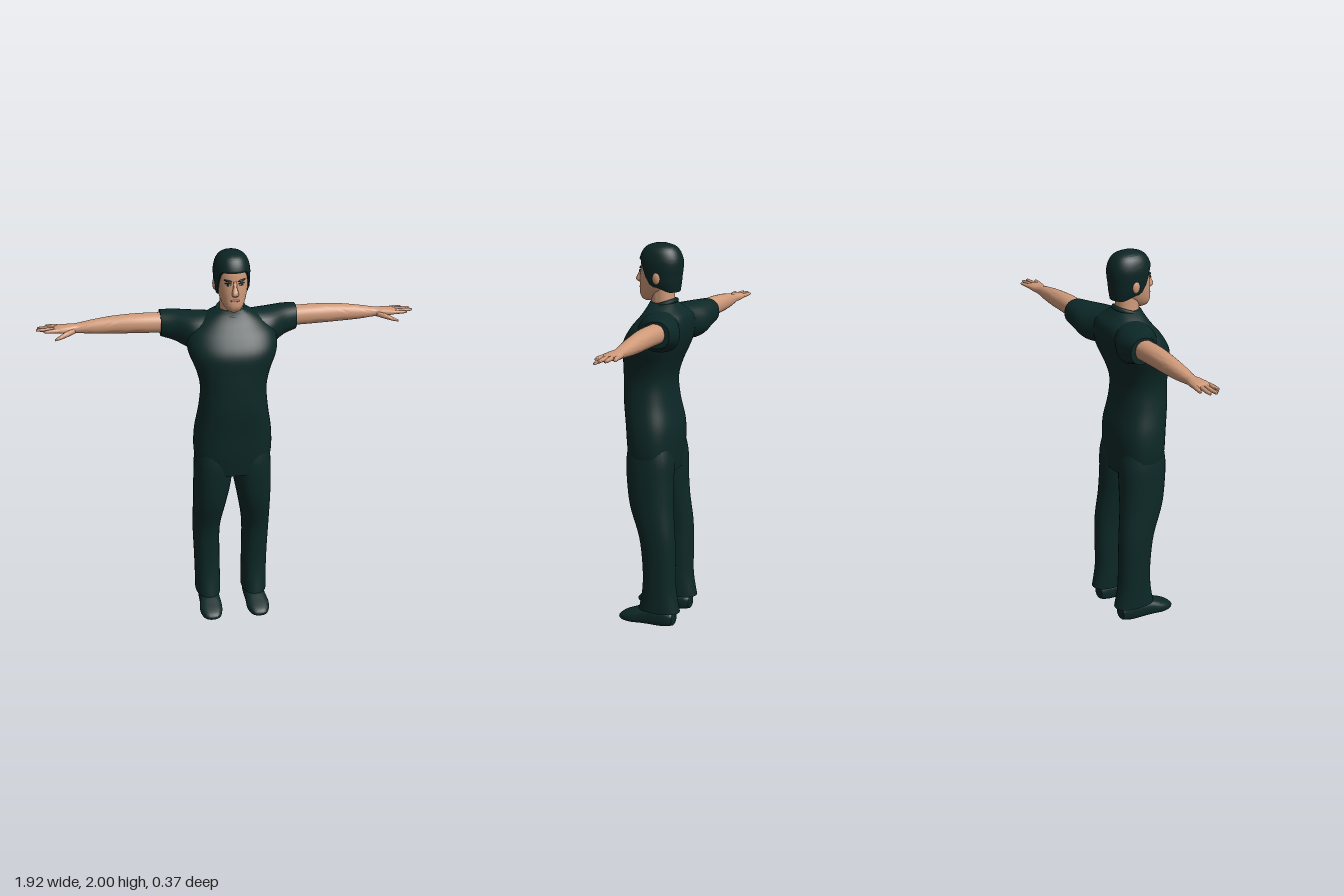
import * as THREE from 'three';
import { toCreasedNormals } from 'three/addons/utils/BufferGeometryUtils.js';

const material = (name, color) => {
  const m = new THREE.MeshStandardMaterial({ color });
  m.name = name;
  return m;
};

// Smooth skin over oval sections [t, centreU, centreV, radiusU, radiusV].
// axis y: u = x, v = z; axis x: u = z, v = y; axis z: u = y, v = x.
function loft(sections, { axis = 'y', side = 1, n = 2.2, segs = 28, steps = 5, start = () => 0 } = {}) {
  const rows = (sections.length - 1) * steps;
  const sample = (k, t) => {
    const f = t * (sections.length - 1);
    const i = Math.min(Math.floor(f), sections.length - 2), w = f - i;
    const p = j => sections[THREE.MathUtils.clamp(j, 0, sections.length - 1)][k];
    const m0 = (p(i + 1) - p(i - 1)) / 2, m1 = (p(i + 2) - p(i)) / 2;
    const w2 = w * w, w3 = w2 * w;
    return (2 * w3 - 3 * w2 + 1) * p(i) + (w3 - 2 * w2 + w) * m0 + (3 * w2 - 2 * w3) * p(i + 1) + (w3 - w2) * m1;
  };
  const round = c => Math.sign(c) * Math.abs(c) ** (2 / n);
  const pos = [], idx = [];
  const put = (u, t, v) => {
    const [x, y, z] = axis === 'y' ? [u, t, v] : axis === 'x' ? [t, v, u] : [v, u, t];
    pos.push(x * side, y, z);
  };
  const tri = (a, b, c) => (side > 0 ? idx.push(a, b, c) : idx.push(a, c, b));
  for (let i = 0; i <= rows; i++) {
    for (let j = 0; j < segs; j++) {
      const a = (j / segs) * Math.PI * 2, t0 = start(a), t = t0 + (1 - t0) * i / rows;
      put(sample(1, t) + sample(3, t) * round(Math.cos(a)), sample(0, t), sample(2, t) + sample(4, t) * round(Math.sin(a)));
    }
  }
  for (let i = 0; i < rows; i++) {
    for (let j = 0; j < segs; j++) {
      const a = i * segs + j, b = i * segs + (j + 1) % segs, c = a + segs, d = b + segs;
      tri(a, c, b);
      tri(b, c, d);
    }
  }
  const first = sections[0], last = sections[sections.length - 1], lo = pos.length / 3, top = rows * segs;
  put(first[1], first[0], first[2]);
  put(last[1], last[0], last[2]);
  for (let j = 0; j < segs; j++) {
    const k = (j + 1) % segs;
    tri(lo, j, k);
    tri(lo + 1, top + k, top + j);
  }
  const g = new THREE.BufferGeometry();
  g.setAttribute('position', new THREE.Float32BufferAttribute(pos, 3));
  g.setIndex(idx);
  return toCreasedNormals(g, 1.0);
}

export function createModel() {
  const model = new THREE.Group();
  const cloth = material('dark teal cloth', 0x0c2827);
  const skin = material('skin', 0xd09a7a);
  const hairMat = material('dark hair', 0x0b2524);
  const lipMat = material('lips', 0xb27a62);
  const eyeWhite = material('eye white', 0xa9b4b0);
  const add = (name, geo, mat, parent = model) => {
    const m = new THREE.Mesh(geo, mat);
    m.name = name;
    parent.add(m);
    return m;
  };
  const blob = (name, mat, p, s, parent = model) => {
    const m = add(name, new THREE.SphereGeometry(1, 16, 12), mat, parent);
    m.position.set(...p);
    m.scale.set(...s);
    return m;
  };

  // Shirt and hips in one continuous body
  add('torso', loft([
    [0.84, 0, 0.02, 0.18, 0.118], [0.95, 0, 0.025, 0.2, 0.13], [1.07, 0, 0.03, 0.197, 0.135],
    [1.2, 0, 0.05, 0.176, 0.13], [1.31, 0, 0.055, 0.167, 0.127], [1.4, 0, 0.043, 0.185, 0.138],
    [1.5, 0, 0.02, 0.223, 0.156], [1.58, 0, -0.008, 0.22, 0.142], [1.64, 0, -0.028, 0.17, 0.115],
    [1.68, 0, -0.02, 0.115, 0.083], [1.705, 0, -0.012, 0.07, 0.066],
  ], { n: 2.5, segs: 40 }), cloth);
  const collar = add('collar', new THREE.TorusGeometry(0.068, 0.012, 8, 32), cloth);
  collar.position.set(0, 1.695, -0.01);
  collar.rotation.x = Math.PI / 2 + 0.3;

  // Neck and head
  add('neck', loft([
    [1.64, 0, -0.015, 0.062, 0.058], [1.71, 0, -0.01, 0.058, 0.058], [1.79, 0, -0.005, 0.056, 0.06],
  ]), skin);
  add('head', loft([
    [1.708, 0, 0.062, 0.015, 0.025], [1.72, 0, 0.058, 0.035, 0.045], [1.745, 0, 0.045, 0.052, 0.068],
    [1.78, 0, 0.025, 0.066, 0.087], [1.82, 0, 0.012, 0.075, 0.099], [1.87, 0, 0.004, 0.08, 0.103],
    [1.92, 0, 0, 0.08, 0.101], [1.96, 0, -0.003, 0.066, 0.08], [1.985, 0, -0.003, 0.035, 0.045],
  ], { segs: 36 }), skin);
  add('nose', loft([
    [1.798, 0, 0.112, 0.012, 0.01], [1.812, 0, 0.116, 0.017, 0.022],
    [1.842, 0, 0.11, 0.01, 0.015], [1.872, 0, 0.101, 0.008, 0.009],
  ], { segs: 16 }), skin);
  blob('mouth', lipMat, [0, 1.776, 0.109], [0.024, 0.006, 0.006]);

  // Hair: the lower edge climbs from the nape to the forehead
  add('hair', loft([
    [1.76, 0, -0.025, 0.064, 0.072], [1.8, 0, -0.005, 0.08, 0.098], [1.84, 0, 0, 0.086, 0.107],
    [1.88, 0, 0, 0.09, 0.112], [1.92, 0, 0, 0.089, 0.111], [1.96, 0, 0, 0.077, 0.095],
    [1.985, 0, 0, 0.055, 0.07], [2, 0, 0, 0.018, 0.025],
  ], { segs: 48, start: a => 0.1 * THREE.MathUtils.smoothstep(Math.sin(a), -0.6, 0.2)
    + 0.47 * THREE.MathUtils.smoothstep(Math.sin(a), 0.3, 0.8) }), hairMat);

  // Fingers: start z, tip z, tip x
  const fingers = [[-0.077, -0.07, 0.925], [-0.1, -0.102, 0.962], [-0.122, -0.13, 0.955], [-0.142, -0.157, 0.918]];

  for (const side of [1, -1]) {
    const half = new THREE.Group();
    half.name = side > 0 ? 'leftSide' : 'rightSide';
    model.add(half);

    // Face details
    blob('ear', skin, [side * 0.083, 1.832, -0.005], [0.011, 0.031, 0.02], half);
    blob('eye', eyeWhite, [side * 0.033, 1.856, 0.1], [0.015, 0.006, 0.006], half).rotation.y = side * 0.45;
    blob('iris', hairMat, [side * 0.033, 1.856, 0.104], [0.007, 0.006, 0.004], half);
    const lid = blob('eyelid', hairMat, [side * 0.033, 1.862, 0.101], [0.018, 0.003, 0.006], half);
    lid.rotation.y = side * 0.5;
    const brow = blob('eyebrow', hairMat, [side * 0.034, 1.875, 0.1], [0.023, 0.005, 0.006], half);
    brow.rotation.set(0, side * 0.5, side * 0.12);

    // Short sleeve and bare arm
    add('sleeve', loft([
      [0.04, -0.035, 1.585, 0.08, 0.085], [0.12, -0.045, 1.585, 0.1, 0.092], [0.2, -0.067, 1.582, 0.112, 0.093],
      [0.28, -0.1, 1.598, 0.084, 0.077], [0.345, -0.115, 1.605, 0.068, 0.066],
    ], { axis: 'x', side }), cloth, half);
    add('arm', loft([
      [0.3, -0.108, 1.608, 0.05, 0.05], [0.45, -0.108, 1.612, 0.05, 0.049], [0.58, -0.112, 1.61, 0.043, 0.044],
      [0.68, -0.112, 1.606, 0.036, 0.035], [0.76, -0.112, 1.603, 0.028, 0.024], [0.8, -0.11, 1.603, 0.038, 0.021],
      [0.85, -0.109, 1.604, 0.044, 0.017], [0.875, -0.109, 1.604, 0.036, 0.009],
    ], { axis: 'x', side }), skin, half);
    for (const [z0, z1, tip] of fingers) {
      add('finger', loft([
        [0.84, z0, 1.604, 0.011, 0.011], [(0.84 + tip) / 2, (z0 + z1) / 2, 1.606, 0.0105, 0.01],
        [tip - 0.01, z1, 1.606, 0.008, 0.007], [tip, z1, 1.605, 0.003, 0.003],
      ], { axis: 'x', side, segs: 12, steps: 4 }), skin, half);
    }
    add('thumb', loft([
      [0.77, -0.092, 1.597, 0.014, 0.014], [0.81, -0.066, 1.59, 0.016, 0.014],
      [0.845, -0.048, 1.58, 0.012, 0.01], [0.872, -0.038, 1.572, 0.005, 0.005],
    ], { axis: 'x', side, segs: 12 }), skin, half);

    // Trouser leg
    add('trouserLeg', loft([
      [0.085, 0.126, -0.04, 0.066, 0.112], [0.2, 0.127, -0.04, 0.067, 0.091], [0.33, 0.13, -0.04, 0.068, 0.088],
      [0.49, 0.132, -0.03, 0.072, 0.095], [0.65, 0.118, 0.005, 0.085, 0.114], [0.78, 0.105, 0.018, 0.097, 0.122],
      [0.9, 0.1, 0.021, 0.098, 0.124], [1.0, 0.1, 0.025, 0.085, 0.105],
    ], { side, n: 2.3 }), cloth, half);

    // Shoe, from heel to toe
    add('shoe', loft([
      [-0.12, 0.045, 0.122, 0.035, 0.038], [-0.07, 0.052, 0.123, 0.052, 0.052], [0.04, 0.047, 0.125, 0.047, 0.055],
      [0.11, 0.035, 0.128, 0.034, 0.06], [0.16, 0.026, 0.128, 0.021, 0.046], [0.182, 0.022, 0.128, 0.009, 0.024],
    ], { axis: 'z', side, n: 2.8 }), cloth, half);
  }
  return model;
}
